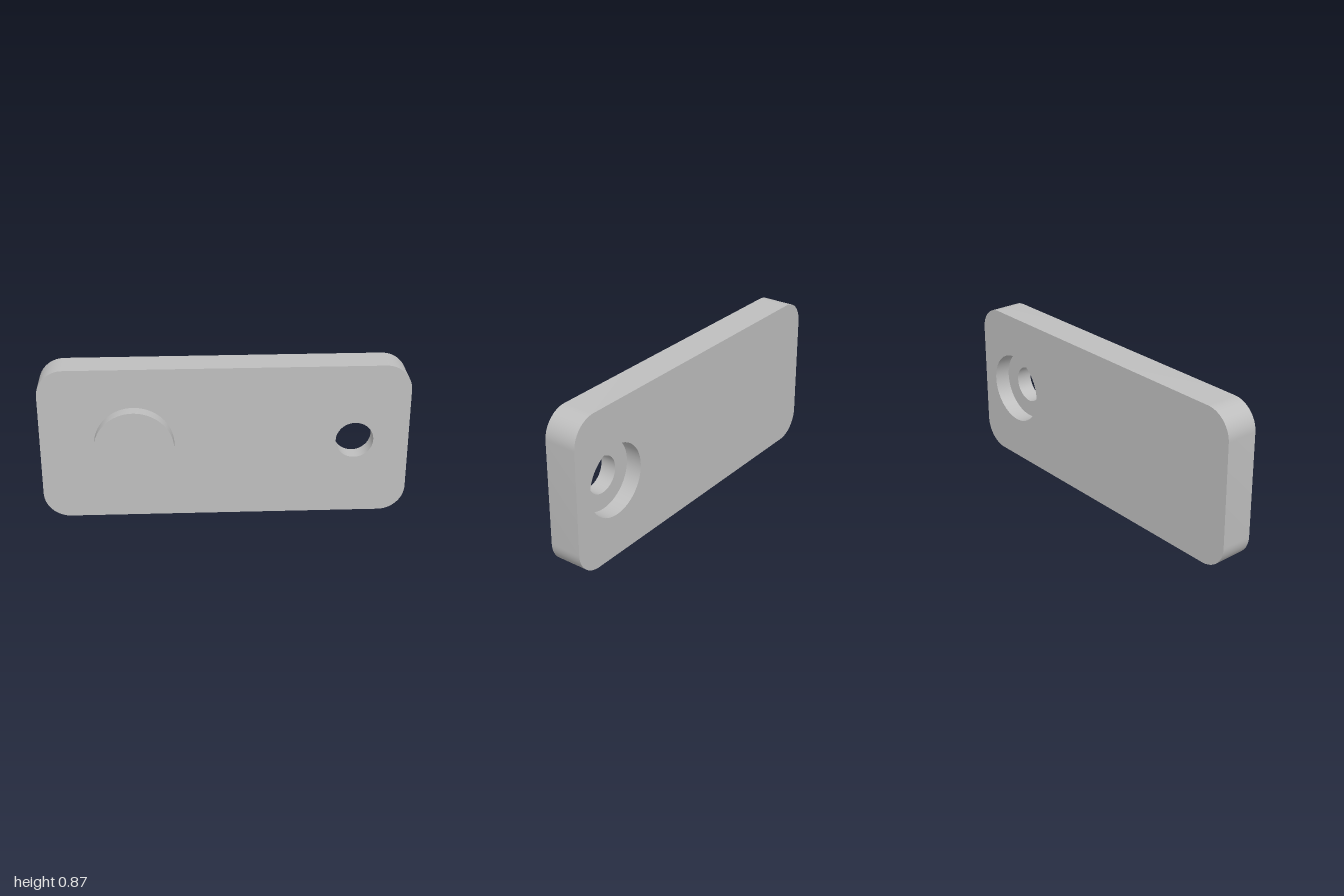
import * as THREE from 'three';
import { mergeGeometries, toCreasedNormals } from 'three/addons/utils/BufferGeometryUtils.js';

const W = 1, H = 0.872, R = 0.145, MID = H / 2;
const BACK = -0.127, FLOOR = -0.036, FRONT = 0.055, BOSS = 0.127;

// Counter-clockwise arc
function arc(x, y, r, start, sweep, n) {
  return Array.from({ length: n + 1 }, (_, i) => {
    const a = start + (sweep * i) / n;
    return new THREE.Vector2(x + r * Math.cos(a), y + r * Math.sin(a));
  });
}
const circle = (x, r) => arc(x, MID, r, 0, Math.PI * 2, 64).slice(0, -1);

// Flat face at depth z, facing front or back
function face(outline, holes, z, facesBack = false) {
  const shape = new THREE.Shape(outline);
  shape.holes = holes.map((h) => new THREE.Path(h));
  const g = new THREE.ShapeGeometry(shape).toNonIndexed().translate(0, 0, z);
  if (facesBack) {
    const p = g.attributes.position;
    for (let i = 0; i < p.count; i += 3) {
      const a = new THREE.Vector3().fromBufferAttribute(p, i);
      const b = new THREE.Vector3().fromBufferAttribute(p, i + 1);
      p.setXYZ(i, b.x, b.y, b.z);
      p.setXYZ(i + 1, a.x, a.y, a.z);
    }
  }
  g.deleteAttribute('uv');
  g.deleteAttribute('normal');
  return g;
}

// Side wall along a closed outline; inward walls line a hole
function wall(outline, z0, z1, inward = false) {
  const pts = inward ? [...outline].reverse() : outline;
  const pos = [];
  pts.forEach((p, i) => {
    const q = pts[(i + 1) % pts.length];
    pos.push(p.x, p.y, z0, q.x, q.y, z0, q.x, q.y, z1);
    pos.push(p.x, p.y, z0, q.x, q.y, z1, p.x, p.y, z1);
  });
  const g = new THREE.BufferGeometry();
  g.setAttribute('position', new THREE.Float32BufferAttribute(pos, 3));
  return g;
}

export function createModel() {
  const group = new THREE.Group();
  group.name = 'mountingPlate';
  const grey = new THREE.MeshStandardMaterial({ color: 0xbebebe });
  grey.name = 'grey';

  const add = (name, parts) => {
    const mesh = new THREE.Mesh(toCreasedNormals(mergeGeometries(parts), 0.5), grey);
    mesh.name = name;
    group.add(mesh);
  };

  // Outlines
  const corners = [[W - R, H - R], [R - W, H - R], [R - W, R], [W - R, R]];
  const outline = corners.flatMap(([x, y], i) => arc(x, y, R, (i * Math.PI) / 2, Math.PI / 2, 16));
  const boss = circle(-0.492, 0.217);
  const hole = circle(0.705, 0.103);
  const recess = circle(0.705, 0.198);

  // Rounded plate
  add('plate', [
    face(outline, [hole, boss], FRONT),
    face(outline, [recess], BACK, true),
    wall(outline, BACK, FRONT),
  ]);

  // Through hole with a wider stepped recess at the back
  add('counterboredHole', [
    wall(hole, FLOOR, FRONT, true),
    wall(recess, BACK, FLOOR, true),
    face(recess, [hole], FLOOR, true),
  ]);

  // Round raised stud on the front
  add('boss', [face(boss, [], BOSS), wall(boss, FRONT, BOSS)]);

  return group;
}
